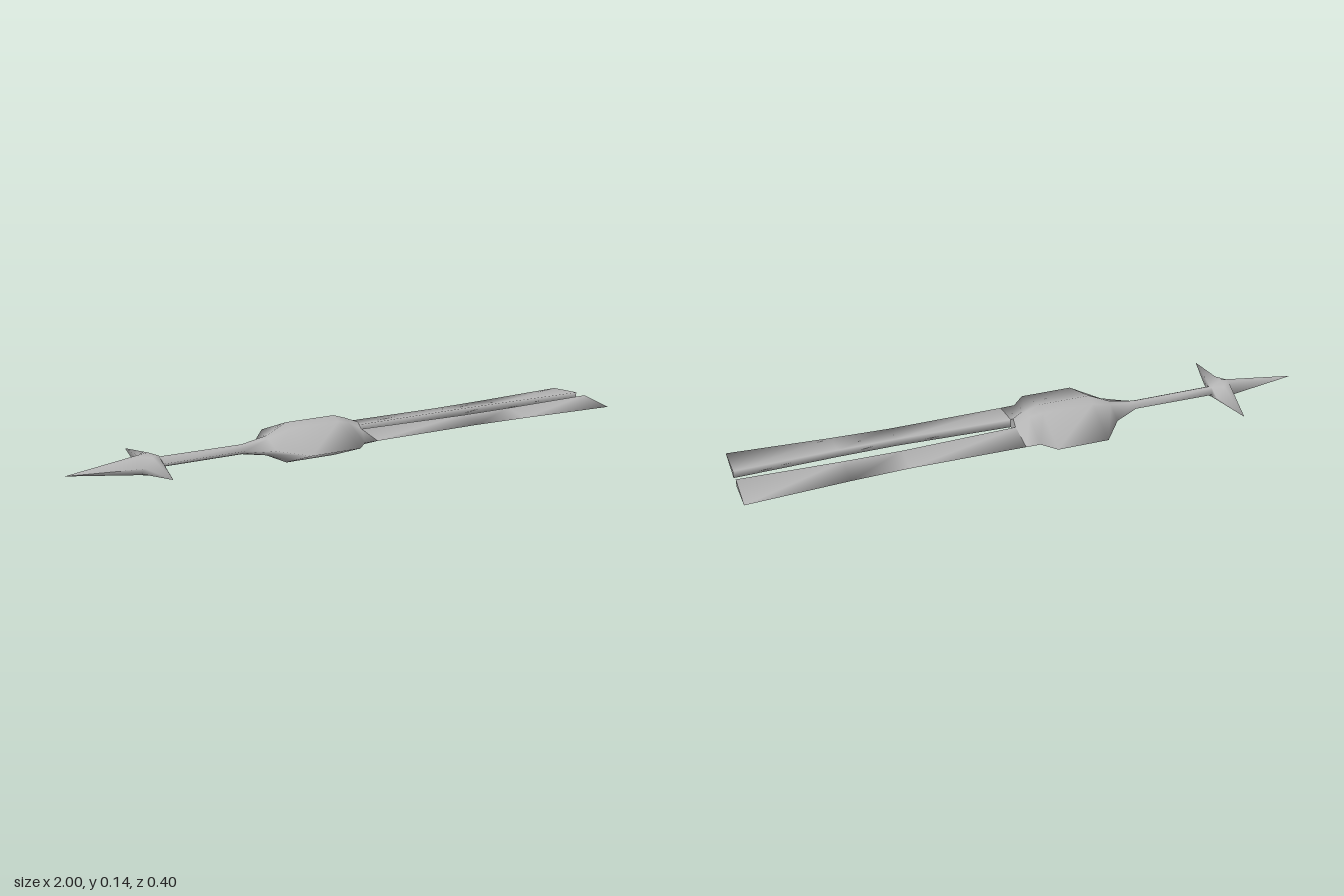
import * as THREE from 'three';

const grey = new THREE.MeshStandardMaterial({ color: 0xb4b4b4 });
grey.name = 'grey';

// Skins rings of [x, y, z] points running along +x, with a flat cap on the last ring.
function loft(rings, name) {
  const n = rings[0].length, pos = [], idx = [];
  for (const ring of rings) for (const p of ring) pos.push(...p);
  for (let i = 0; i < rings.length - 1; i++) {
    for (let j = 0; j < n; j++) {
      const a = i * n + j, b = i * n + (j + 1) % n;
      idx.push(a, b, a + n, b, b + n, a + n);
    }
  }
  const last = rings[rings.length - 1], base = pos.length / 3;
  const mid = [0, 1, 2].map(k => last.reduce((s, p) => s + p[k], 0) / n);
  for (const p of last) pos.push(...p);
  pos.push(...mid);
  for (let j = 0; j < n; j++) idx.push(base + n, base + j, base + (j + 1) % n);

  const geo = new THREE.BufferGeometry();
  geo.setAttribute('position', new THREE.Float32BufferAttribute(pos, 3));
  geo.setIndex(idx);
  geo.computeVertexNormals();
  const mesh = new THREE.Mesh(geo, grey);
  mesh.name = name;
  return mesh;
}

// Diamond section with half height h and half width w; (a, b) is the shoulder point on each side.
function diamond([x, h, w, a = w * 0.19, b = h * 0.81]) {
  return [[h, 0], [b, a], [0, w], [-b, a], [-h, 0], [-b, -a], [0, -w], [b, -a]].map(([y, z]) => [x, y, z]);
}

// Wedge section: upright inner edge, sharp outer edge.
function wedge([x, h, inner, outer]) {
  return [[x, h, inner], [x, 0, outer], [x, -h, inner]];
}

export function createModel() {
  const model = new THREE.Group();
  model.name = 'forkedSpear';

  // Pointed tip, cross spikes, stem and main body: x, half height, half width
  model.add(loft([
    [-1, 0, 0],
    [-0.75, 0.034, 0.05],
    [-0.72, 0.037, 0.2],
    [-0.685, 0.022, 0.055],
    [-0.68, 0.018, 0.029],
    [-0.39, 0.017, 0.027],
    [-0.3, 0.034, 0.08],
    [-0.225, 0.07, 0.184],
    [-0.045, 0.07, 0.184],
    [0, 0.055, 0.135],
    [0.05, 0.034, 0.134, 0.025, 0.015],
  ].map(diamond), 'body'));

  // Two long rear prongs: x, half height, inner z, outer z
  const prongs = ['leftProng', 'rightProng'].map(name => loft([
    [0.03, 0.015, 0.025, 0.134],
    [0.45, 0.013, 0.038, 0.13],
    [0.65, 0.013, 0.036, 0.138],
    [1, 0.013, 0.025, 0.16],
  ].map(wedge), name));
  prongs[1].rotation.x = Math.PI;
  model.add(...prongs);

  model.children.forEach(m => { m.position.y = 0.07; });
  return model;
}
